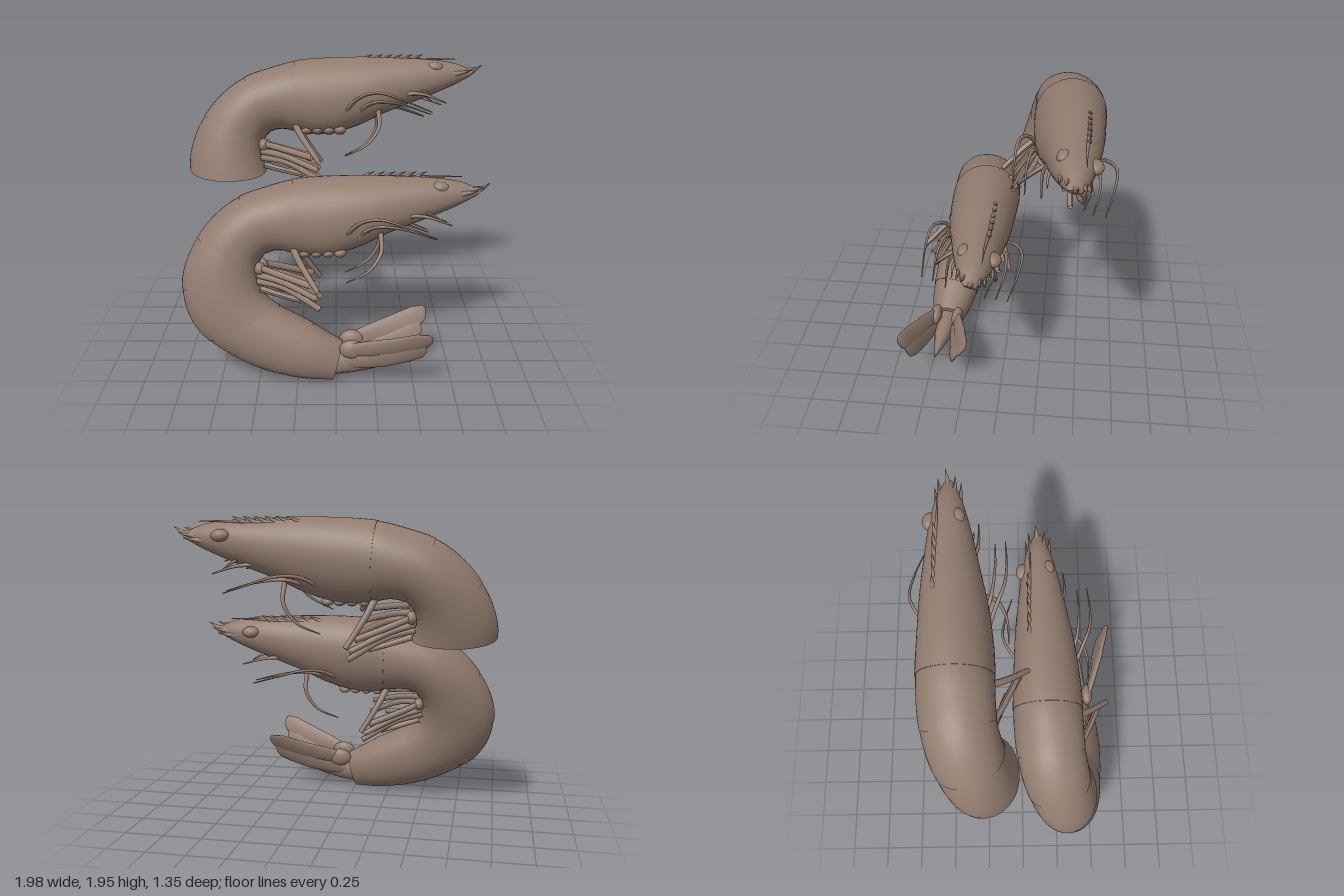
import * as THREE from 'three';

const shell = new THREE.MeshStandardMaterial({ color: 0x917b6e, side: THREE.DoubleSide });
shell.name = 'shellBrown';

const V = (p) => new THREE.Vector3(...p);

function add(group, name, geometry) {
  const mesh = new THREE.Mesh(geometry, shell);
  mesh.name = name;
  group.add(mesh);
  return mesh;
}

// Closed loft through rings {o: outer edge, i: inner edge, w: half width along z}.
// flat < 1 squares off the inner half; roll and sag shift the sides of a ring in y.
function loft(rings, sides = 28, flat = 1) {
  const pos = [], idx = [];
  const ring = ({ o, i, w, roll = 0, sag = 0 }) => {
    const c = o.clone().add(i).multiplyScalar(0.5), a = o.clone().sub(c);
    for (let k = 0; k < sides; k++) {
      const f = (k / sides) * Math.PI * 2, cos = Math.cos(f);
      let sin = Math.sin(f);
      if (cos < 0) sin = Math.sign(sin) * Math.abs(sin) ** flat;
      pos.push(c.x + a.x * cos, c.y + a.y * cos + roll * sin - sag * Math.abs(sin), c.z + a.z * cos + w * sin);
    }
    return c;
  };
  const centres = rings.map(ring);
  const dir = centres[1].clone().sub(centres[0]);
  const flip = rings[0].o.clone().sub(rings[0].i).cross(V([0, 0, 1])).dot(dir) > 0;
  const tri = (a, b, c) => (flip ? idx.push(a, c, b) : idx.push(a, b, c));
  for (let r = 0; r < rings.length - 1; r++) {
    for (let k = 0; k < sides; k++) {
      const a = r * sides + k, b = r * sides + ((k + 1) % sides);
      tri(a, a + sides, b);
      tri(b, a + sides, b + sides);
    }
  }
  // End caps with their own vertices keep the rims sharp
  [0, rings.length - 1].forEach((r, end) => {
    const base = pos.length / 3;
    ring(rings[r]);
    const mid = pos.length / 3;
    pos.push(centres[r].x, centres[r].y, centres[r].z);
    for (let k = 0; k < sides; k++) {
      const a = base + k, b = base + ((k + 1) % sides);
      end ? tri(mid, b, a) : tri(mid, a, b);
    }
  });
  const g = new THREE.BufferGeometry();
  g.setAttribute('position', new THREE.Float32BufferAttribute(pos, 3));
  g.setIndex(idx);
  g.computeVertexNormals();
  return g;
}

// Tube whose radius changes from r to r * tip along a smooth path
function taper(points, r, tip, seg = 20, sides = 8) {
  const curve = new THREE.CatmullRomCurve3(points.map(V));
  const g = new THREE.TubeGeometry(curve, seg, r, sides, false);
  const p = g.attributes.position, v = new THREE.Vector3();
  for (let n = 0; n < p.count; n++) {
    const t = Math.floor(n / (sides + 1)) / seg, c = curve.getPointAt(t);
    v.fromBufferAttribute(p, n).sub(c).multiplyScalar(1 + (tip - 1) * t).add(c);
    p.setXYZ(n, v.x, v.y, v.z);
  }
  g.computeVertexNormals();
  return g;
}

function blob(group, name, at, size) {
  const mesh = add(group, name, new THREE.SphereGeometry(1, 20, 14));
  mesh.position.set(...at);
  mesh.scale.set(...size);
}

// Body profile from head to tail: back x, y, belly x, y, half width
const PROFILE = [
  [0.93, 1.205, 0.90, 1.17, 0.035], [0.80, 1.255, 0.78, 1.11, 0.085], [0.62, 1.28, 0.58, 1.03, 0.13],
  [0.40, 1.29, 0.32, 0.935, 0.17], [0.20, 1.295, 0.14, 0.855, 0.197], [-0.05, 1.29, -0.06, 0.805, 0.215],
  [-0.28, 1.27, -0.25, 0.815, 0.225], [-0.45, 1.225, -0.36, 0.835, 0.225], [-0.62, 1.165, -0.44, 0.82, 0.222],
  [-0.77, 1.06, -0.49, 0.77, 0.22], [-0.89, 0.92, -0.50, 0.72, 0.215], [-0.97, 0.76, -0.50, 0.66, 0.21],
  [-0.995, 0.60, -0.48, 0.58, 0.205], [-0.95, 0.42, -0.44, 0.53, 0.197], [-0.83, 0.27, -0.37, 0.48, 0.187],
  [-0.59, 0.13, -0.27, 0.43, 0.177], [-0.37, 0.055, -0.15, 0.37, 0.162], [-0.20, 0.025, -0.05, 0.31, 0.14],
  [-0.02, 0.015, 0.04, 0.26, 0.10],
];
const smooth = (pts) => new THREE.CatmullRomCurve3(pts.map(V), false, 'catmullrom', 0.5);
const BACK = smooth(PROFILE.map((p) => [p[0], p[1], 0]));
const BELLY = smooth(PROFILE.map((p) => [p[2], p[3], 0]));
const WIDTH = smooth(PROFILE.map((p) => [p[4], 0, 0]));

// One shell plate between two profile stations, tucked in at the front and flared at the rear
function plate(from, to, roll, sag) {
  const n = Math.round((to - from) * 5), rings = [];
  for (let k = 0; k <= n; k++) {
    const u = k / n, t = (from + (to - from) * u) / (PROFILE.length - 1);
    const o = BACK.getPoint(t), i = BELLY.getPoint(t), c = o.clone().add(i).multiplyScalar(0.5);
    const s = 0.985 + 0.025 * Math.sqrt(u);
    o.sub(c).multiplyScalar(s).add(c);
    i.sub(c).multiplyScalar(s).add(c);
    rings.push({ o, i, w: WIDTH.getPoint(t).x * s, roll: roll * u * u, sag: sag * u * u });
  }
  return loft(rings, 40, 0.78);
}

function tailFan(g) {
  const fan = new THREE.Group();
  fan.name = 'tailFan';
  fan.rotation.x = 0.2;
  fan.position.z = -0.03;
  g.add(fan);
  // x, top y, bottom y, top z, bottom z, half thickness
  const blade = [
    [0.06, 0.28, 0.20, 0.07, 0.06, 0.025], [0.2, 0.33, 0.21, 0.12, 0.09, 0.025], [0.35, 0.375, 0.24, 0.17, 0.12, 0.024],
    [0.5, 0.425, 0.29, 0.21, 0.15, 0.018], [0.575, 0.43, 0.33, 0.225, 0.175, 0.012], [0.595, 0.41, 0.36, 0.22, 0.19, 0.004],
  ];
  for (const s of [1, -1]) {
    [[1, 0, 1], [0.95, -0.085, 0.78]].forEach(([kx, dy, kz], n) => {
      add(fan, n ? 'innerTailBlade' : 'outerTailBlade', loft(blade.map(([x, t, b, zt, zb, w]) => ({
        o: V([x * kx, t + dy, s * zt * kz + 0.06 * x]), i: V([x * kx, b + dy, s * zb * kz + 0.06 * x]), w,
      })), 16));
    });
    blob(fan, 'tailBladeBase', [0.1, 0.25, s * 0.075], [0.08, 0.06, 0.04]);
  }
  add(fan, 'tailSpike', loft([[-0.03, 0.24, 0.05, 0.09], [0.1, 0.23, 0.065, 0.075], [0.22, 0.2, 0.09, 0.05],
    [0.34, 0.18, 0.125, 0.022], [0.43, 0.17, 0.155, 0.005]].map(([x, t, b, w]) => ({
    o: V([x, t, 0.06 * x]), i: V([x, b, 0.06 * x]), w,
  })), 16));
}

function makeShrimp(name, cuts, roll, sag) {
  const g = new THREE.Group();
  g.name = name;
  // Shell; only the last plate may have a skewed rim
  for (let k = 0; k < cuts.length - 1; k++) {
    const last = k === cuts.length - 2 ? 1 : 0;
    add(g, k ? 'abdomenSegment' + k : 'carapace',
      plate(Math.max(0, cuts[k] - 0.15), cuts[k + 1], roll * last, sag * last));
  }
  // Snout ridge with its row of teeth
  const rz = -0.04;
  add(g, 'rostrum', taper([[0.2, 1.275, rz], [0.45, 1.28, rz], [0.65, 1.285, rz + 0.01], [0.81, 1.285, rz + 0.01]], 0.02, 0.1));
  for (let k = 0; k < 6; k++) {
    const x = 0.2 + k * 0.068;
    add(g, 'ridgeTooth', taper([[x - 0.02, 1.28, rz], [x + 0.02, 1.305, rz], [x + 0.05, 1.315, rz]], 0.017, 0.05, 6, 6));
  }
  add(g, 'snoutSpike', taper([[0.84, 1.19, 0], [0.92, 1.205, 0], [0.985, 1.245, 0]], 0.032, 0.05, 8));

  const paths = [
    ['walkingLeg', 0.014, 0.25, [[0.04, 0.92, 0.15], [0.15, 1.02, 0.24], [0.27, 1.045, 0.3], [0.43, 1.0, 0.3], [0.62, 0.93, 0.27]]],
    ['walkingLeg', 0.014, 0.25, [[0.12, 0.92, 0.13], [0.24, 0.99, 0.2], [0.42, 0.98, 0.22], [0.62, 0.92, 0.2]]],
    ['foldedLeg', 0.017, 0.2, [[0.28, 0.95, 0.1], [0.28, 0.84, 0.18], [0.2, 0.73, 0.21], [0.06, 0.66, 0.2]]],
    ['feeler', 0.016, 0.25, [[0.4, 1.05, 0.1], [0.56, 1.05, 0.14], [0.73, 0.995, 0.12]]],
    ['feeler', 0.014, 0.25, [[0.52, 1.09, 0.09], [0.6, 1.06, 0.11], [0.66, 1.02, 0.1]]],
    ['mouthSpike', 0.022, 0.05, [[0.82, 1.2, 0.04], [0.88, 1.21, 0.05], [0.94, 1.225, 0.055]]],
    ['mouthSpike', 0.02, 0.05, [[0.78, 1.18, 0.07], [0.84, 1.19, 0.08], [0.9, 1.2, 0.085]]],
    ['rearLeg', 0.024, 0.7, [[-0.28, 0.87, 0.1], [-0.22, 0.77, 0.2], [-0.11, 0.62, 0.31]]],
    ['swimLeg', 0.021, 1.0, [[-0.5, 0.74, 0.09], [-0.38, 0.71, 0.16], [-0.16, 0.65, 0.25]]],
    ['swimLeg', 0.021, 0.9, [[-0.5, 0.69, 0.09], [-0.35, 0.66, 0.15], [-0.12, 0.57, 0.24]]],
    ['swimLeg', 0.021, 0.9, [[-0.5, 0.65, 0.08], [-0.33, 0.62, 0.14], [-0.1, 0.5, 0.2]]],
    ['swimLeg', 0.02, 0.8, [[-0.48, 0.6, 0.07], [-0.36, 0.57, 0.1], [-0.22, 0.54, 0.14]]],
  ];
  for (const s of [1, -1]) {
    for (const [part, r, tip, pts] of paths) {
      add(g, part, taper(pts.map(([x, y, z]) => [x, y, z * s]), r, tip));
    }
    blob(g, 'eye', [0.655, 1.222, s * 0.087 - 0.015], [0.058, 0.036, 0.045]);
    // Leg roots sunk into the underside
    for (let k = 0; k < 4; k++) {
      blob(g, 'legRoot', [-0.2 + k * 0.075, 0.825, s * 0.08], [0.04, 0.028, 0.05]);
    }
    blob(g, 'swimLegRoot', [-0.485, 0.73, s * 0.09], [0.035, 0.04, 0.045]);
  }
  // Lean the whole animal backwards at the top
  g.rotation.x = -0.29;
  g.scale.y = 1.045;
  return g;
}

export function createModel() {
  const model = new THREE.Group();
  model.name = 'shrimpPair';
  const front = makeShrimp('frontShrimp', [0, 6, 8, 10, 12, 14, 16, 18], 0, 0);
  front.position.set(0, 0, 0.48);
  tailFan(front);
  // The rear one ends at mid abdomen, its sides hanging lower than its back
  const rear = makeShrimp('rearShrimp', [0, 6, 8, 10, 12.1], -0.045, 0.035);
  rear.position.set(0, 0.652, -0.07);
  model.add(front, rear);
  return model;
}
